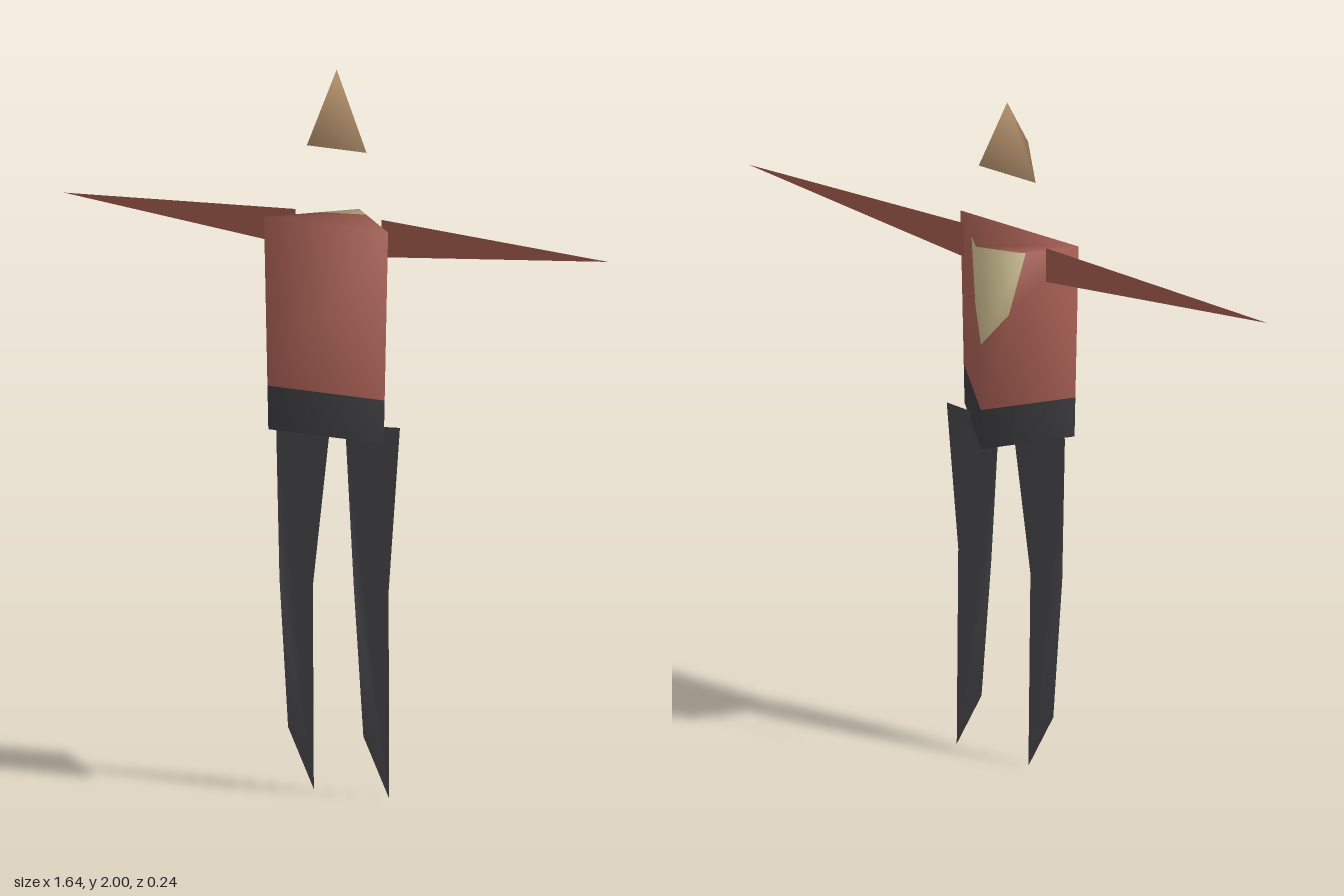
import * as THREE from 'three';

const material = (name, color, side = THREE.FrontSide) => {
  const m = new THREE.MeshStandardMaterial({ color, side });
  m.name = name;
  return m;
};

// Torso: a slightly tapering triangular prism
const TOP = 1.585, WAIST = 1.12, BOTTOM = 1.0;
const FRONT_Z = 0.077, BACK_Z = -0.117;
const halfWidth = y => 0.174 + 0.013 * (y - BOTTOM) / (TOP - BOTTOM);

// Shape drawn in 2D, then every vertex moved by a rule
function mappedShape(points, rule) {
  const geo = new THREE.ShapeGeometry(new THREE.Shape(points.map(p => new THREE.Vector2(...p))));
  const pos = geo.attributes.position;
  for (let i = 0; i < pos.count; i++) pos.setXYZ(i, ...rule(pos.getX(i), pos.getY(i)));
  geo.computeVertexNormals();
  return geo;
}

// Soft normals that blend between the three prism corners
function softenTorso(geo) {
  const pos = geo.attributes.position, v = new THREE.Vector3();
  for (let i = 0; i < pos.count; i++) {
    const y = pos.getY(i);
    v.set(
      0.92 * pos.getX(i) / halfWidth(y),
      -0.25 + 0.5 * (y - BOTTOM) / (TOP - BOTTOM),
      1.38 * (pos.getZ(i) - BACK_Z) / (FRONT_Z - BACK_Z) - 1
    ).normalize();
    geo.attributes.normal.setXYZ(i, v.x, v.y, v.z);
  }
  return geo;
}

export function createModel() {
  const model = new THREE.Group();
  const shirt = material('shirt red', 0xa86054);
  const sleeve = material('sleeve red', 0xa25a4e, THREE.DoubleSide);
  const cream = material('cream', 0xc8b98b);
  const belt = material('belt charcoal', 0x3e3d41);
  const trouser = material('trouser grey', 0x48474c, THREE.DoubleSide);
  const skin = material('skin tan', 0xb8946f);

  const add = (name, geo, mat, parent = model) => {
    const mesh = new THREE.Mesh(geo, mat);
    mesh.name = name;
    parent.add(mesh);
    return mesh;
  };

  const torso = new THREE.Group();
  torso.name = 'torso';
  model.add(torso);

  // Corners as [side, z]; walls run left to right as seen from outside
  const right = [-1, FRONT_Z], left = [1, FRONT_Z], back = [0, BACK_Z];
  const wall = (name, a, b, points, mat) => add(name, softenTorso(mappedShape(points, (u, y) => [
    THREE.MathUtils.lerp(a[0], b[0], u) * halfWidth(y), y, THREE.MathUtils.lerp(a[1], b[1], u)
  ])), mat, torso);
  const band = (y0, y1) => [[0, y0], [1, y0], [1, y1], [0, y1]];

  wall('shirtFront', right, left, band(WAIST, TOP), shirt);
  wall('beltFront', right, left, band(BOTTOM, WAIST), belt);

  // Back walls with the cream patch around the rear corner
  const patch = [[0, TOP], [0.46, TOP], [0.29, 1.4], [0, 1.32]];
  const rest = [[0, WAIST], [1, WAIST], [1, TOP], [0.46, TOP], [0.29, 1.4], [0, 1.32]];
  const flip = pts => pts.map(([u, y]) => [1 - u, y]);
  wall('shirtBackRight', back, right, rest, shirt);
  wall('patchRight', back, right, patch, cream);
  wall('beltBackRight', back, right, band(BOTTOM, WAIST), belt);
  wall('shirtBackLeft', left, back, flip(rest), shirt);
  wall('patchLeft', left, back, flip(patch), cream);
  wall('beltBackLeft', left, back, band(BOTTOM, WAIST), belt);

  // Top and bottom caps, drawn in x and -z (top) or x and z (bottom)
  const w = halfWidth(TOP), edgeZ = t => THREE.MathUtils.lerp(BACK_Z, FRONT_Z, t);
  const capRight = [-0.42 * w, -edgeZ(0.42)], capLeft = [0.24 * w, -edgeZ(0.24)];
  const onTop = (x, s) => [x, TOP, -s];
  add('shoulderTop', softenTorso(mappedShape(
    [[-w, -FRONT_Z], [w, -FRONT_Z], capLeft, capRight], onTop)), shirt, torso);
  add('collarPatch', softenTorso(mappedShape([capRight, capLeft, [0, -BACK_Z]], onTop)), cream, torso);
  const wb = halfWidth(BOTTOM);
  add('torsoUnderside', softenTorso(mappedShape(
    [[-wb, FRONT_Z], [0, BACK_Z], [wb, FRONT_Z]], (x, z) => [x, BOTTOM, z])), belt, torso);

  // Head: a four-sided wedge with its point forward
  const head = new THREE.BufferGeometry();
  head.setAttribute('position', new THREE.Float32BufferAttribute([
    0, 2, 0.015, -0.09, 1.78, 0.015, 0.09, 1.78, 0.015, 0, 1.83, 0.12
  ], 3));
  head.setIndex([0, 1, 3, 0, 3, 2, 1, 2, 3, 0, 2, 1]);
  head.computeVertexNormals();
  add('head', head, skin);

  // Arms: flat blades tapering to the hand
  for (const [name, s] of [['leftArm', 1], ['rightArm', -1]]) {
    add(name, mappedShape(
      [[0.13 * s, 1.597], [0.13 * s, 1.494], [0.82 * s, 1.565]],
      (x, y) => [x, y, 0.004 + 0.015 * (Math.abs(x) - 0.13) / 0.69]), sleeve);
  }

  // Legs: flat blades, bent slightly forward at the knee
  const legZ = y => y > 0.57 ? 0.03 - 0.022 * (y - 0.57) / 0.46 : 0.03 * (y - 0.01) / 0.56;
  const legs = {
    rightLeg: [[-0.187, 1.03], [-0.165, 0.58], [-0.15, 0.165], [-0.077, 0], [-0.064, 0.57], [-0.022, 1.02]],
    leftLeg: [[0.187, 1.03], [0.164, 0.58], [0.15, 0], [0.077, 0.165], [0.06, 0.57], [0.022, 1.02]]
  };
  for (const [name, outline] of Object.entries(legs)) {
    add(name, mappedShape(outline, (x, y) => [x, y, legZ(y)]), trouser);
  }
  return model;
}
